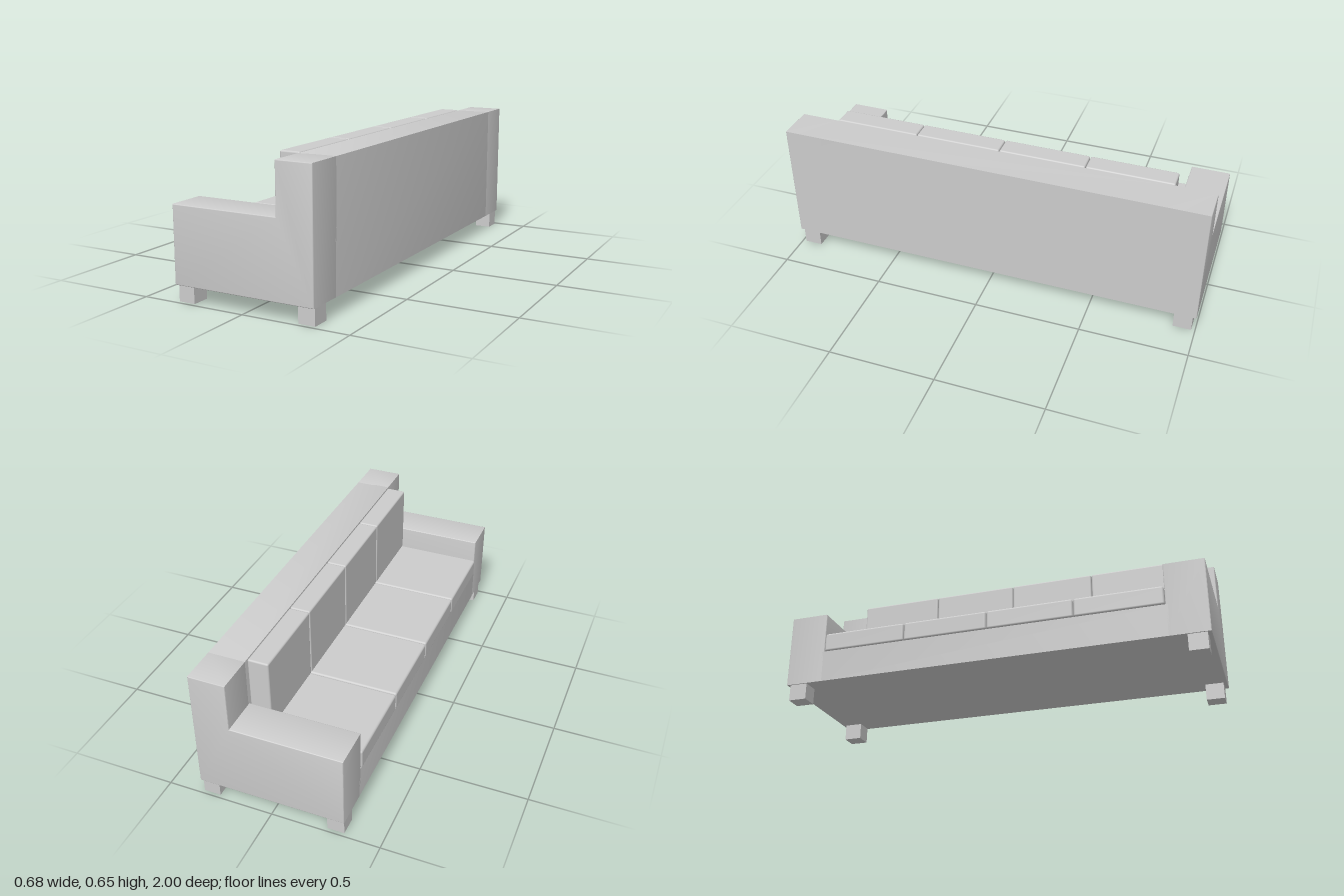
import * as THREE from 'three';
import { RoundedBoxGeometry } from 'three/addons/geometries/RoundedBoxGeometry.js';
import { toCreasedNormals } from 'three/addons/utils/BufferGeometryUtils.js';

const BEVEL = 0.004;
const FRONT = -0.338, BACK = 0.34, BACKREST = 0.17, BOTTOM = 0.077, TOP = 0.652;

// L-shaped side profile: low part of the given height, tall backrest behind
function sideProfile(lowTop, inset) {
  const i = inset;
  return new THREE.Shape([
    [FRONT + i, BOTTOM + i], [BACK - i, BOTTOM + i], [BACK - i, TOP - i],
    [BACKREST + i, TOP - i], [BACKREST + i, lowTop - i], [FRONT + i, lowTop - i],
  ].map(([x, y]) => new THREE.Vector2(x, y)));
}

export function createModel() {
  const sofa = new THREE.Group();
  sofa.name = 'sofa';
  const material = new THREE.MeshStandardMaterial({ color: 0xcccccc });

  function add(name, geometry, x = 0, y = 0, z = 0) {
    const mesh = new THREE.Mesh(geometry, material);
    mesh.name = name;
    mesh.position.set(x, y, z);
    sofa.add(mesh);
  }

  // Seat base and backrest, running into the two arms
  const core = new THREE.ExtrudeGeometry(sideProfile(0.228, BEVEL), {
    depth: 1.66 - 2 * BEVEL, bevelThickness: BEVEL, bevelSize: BEVEL, bevelSegments: 3,
  });
  core.translate(0, 0, -0.83 + BEVEL);
  add('seatBaseAndBackrest', toCreasedNormals(core, 0.7));

  // Arms with the backrest ends
  for (const side of [-1, 1]) {
    const arm = new THREE.ExtrudeGeometry(sideProfile(0.425, BEVEL), {
      depth: 0.185 - 2 * BEVEL, bevelThickness: BEVEL, bevelSize: BEVEL, bevelSegments: 3,
    });
    arm.translate(0, 0, (side > 0 ? 0.815 : -1) + BEVEL);
    add(side > 0 ? 'leftArm' : 'rightArm', toCreasedNormals(arm, 0.7));
  }

  // Four seat cushions, each with a back cushion
  const pitch = 0.407;
  for (let k = 0; k < 4; k++) {
    const z = (k - 1.5) * pitch;
    add('seatCushion', new RoundedBoxGeometry(0.512, 0.09, pitch - 0.003, 4, 0.01), -0.087, 0.273, z);
    add('backCushion', new RoundedBoxGeometry(0.096, 0.338, pitch - 0.003, 4, 0.008), 0.119, 0.486, z);
  }

  // Square feet
  for (const x of [-0.293, 0.297]) {
    for (const z of [-0.94, 0.94]) {
      add('foot', new THREE.BoxGeometry(0.078, 0.08, 0.085), x, 0.04, z);
    }
  }
  return sofa;
}
